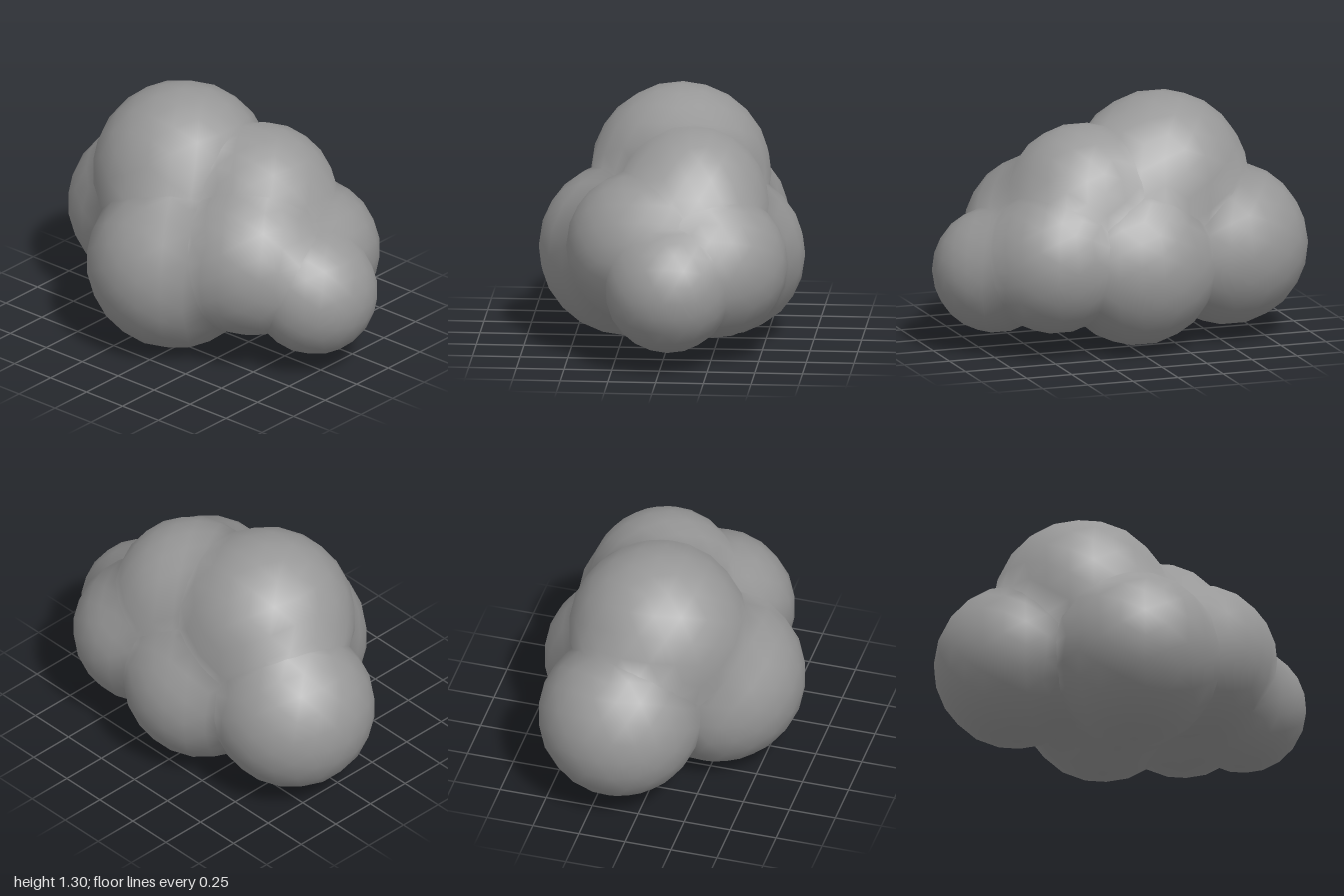
import * as THREE from 'three';

// Puffs of the cloud: name, centre x, y, z, radius
const PUFFS = [
  ['topPuff', -0.24, 0.83, -0.035, 0.473],
  ['upperLeftPuff', 0.22, 0.78, -0.13, 0.402],
  ['rightPuff', -0.57, 0.49, -0.15, 0.43],
  ['frontPuff', -0.06, 0.462, 0.235, 0.462],
  ['frontLeftPuff', 0.36, 0.57, 0.11, 0.41],
  ['farLeftPuff', 0.67, 0.42, -0.04, 0.332],
  ['backLeftPuff', 0.42, 0.5, -0.26, 0.387],
  ['backPuff', -0.03, 0.45, -0.27, 0.432],
].map(([name, x, y, z, radius]) => ({ name, centre: new THREE.Vector3(x, y, z), radius }));

// Normal shared by all puffs, so shading flows softly over the joins
function blendedNormal(point) {
  const normal = new THREE.Vector3();
  for (const { centre, radius } of PUFFS) {
    const offset = point.clone().sub(centre);
    const distance = offset.length();
    const weight = Math.exp(-(distance - radius) / 0.055);
    normal.addScaledVector(offset.normalize(), weight);
  }
  return normal.normalize();
}

// Faceted ball without the triangles buried inside a neighbouring puff
function puffGeometry(puff) {
  const ball = new THREE.IcosahedronGeometry(puff.radius, 3);
  ball.translate(puff.centre.x, puff.centre.y, puff.centre.z);
  const source = ball.attributes.position;
  const positions = [];
  const normals = [];
  for (let i = 0; i < source.count; i += 3) {
    const corners = [0, 1, 2].map((k) => new THREE.Vector3().fromBufferAttribute(source, i + k));
    const buried = PUFFS.some((other) => other !== puff
      && corners.every((p) => p.distanceTo(other.centre) < other.radius * 0.95));
    if (buried) continue;
    for (const p of corners) {
      positions.push(...p.toArray());
      normals.push(...blendedNormal(p).toArray());
    }
  }
  const geometry = new THREE.BufferGeometry();
  geometry.setAttribute('position', new THREE.Float32BufferAttribute(positions, 3));
  geometry.setAttribute('normal', new THREE.Float32BufferAttribute(normals, 3));
  return geometry;
}

export function createModel() {
  const cloud = new THREE.Group();
  cloud.name = 'cloud';
  const material = new THREE.MeshStandardMaterial({ color: 0x989898 });
  for (const puff of PUFFS) {
    const mesh = new THREE.Mesh(puffGeometry(puff), material);
    mesh.name = puff.name;
    cloud.add(mesh);
  }
  return cloud;
}
